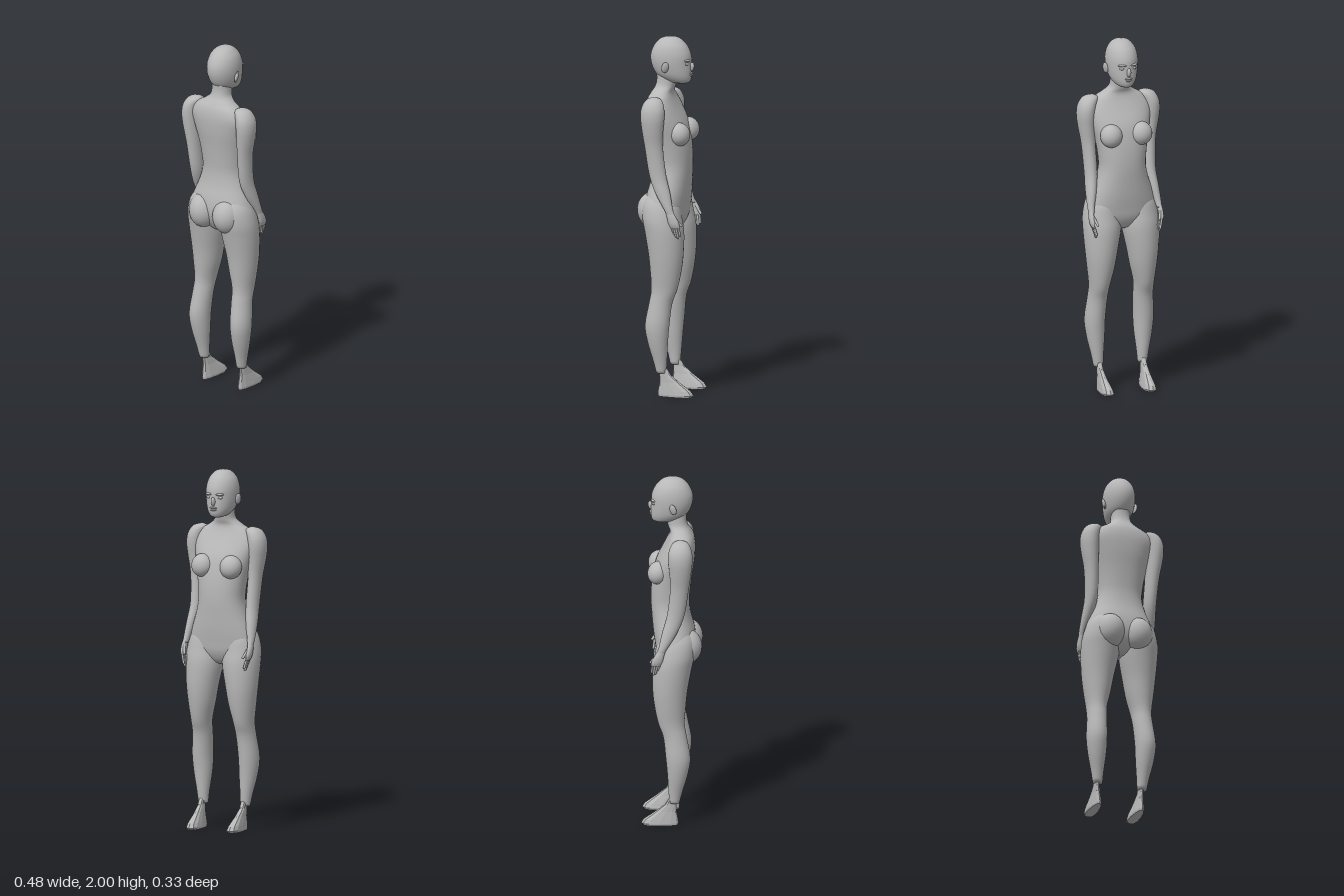
import * as THREE from 'three';

const grey = new THREE.MeshStandardMaterial({ color: 0xb8b8b8 });
grey.name = 'plain grey';

// Smooth skin through rings [y, x, z, rx, rz], listed from top to bottom
function loft(rings, { sides = 28, steps = 4, power = 2, side = 1 } = {}) {
  const mid = new THREE.CatmullRomCurve3(rings.map(r => new THREE.Vector3(r[1] * side, r[0], r[2])), false, 'catmullrom');
  const rad = new THREE.CatmullRomCurve3(rings.map(r => new THREE.Vector3(r[3], r[4], 0)), false, 'catmullrom');
  const n = (rings.length - 1) * steps, pos = [], idx = [];
  const bend = v => Math.sign(v) * Math.abs(v) ** (2 / power);
  for (let i = 0; i <= n; i++) {
    const c = mid.getPoint(i / n), r = rad.getPoint(i / n);
    for (let j = 0; j < sides; j++) {
      const a = j / sides * Math.PI * 2;
      pos.push(c.x + r.x * bend(Math.cos(a)), c.y, c.z + r.y * bend(Math.sin(a)));
      if (i === n) continue;
      const p = i * sides + j, q = i * sides + (j + 1) % sides;
      idx.push(p, q, p + sides, q, q + sides, p + sides);
    }
  }
  // End caps
  for (const [row, flip] of [[0, true], [n, false]]) {
    const c = mid.getPoint(row / n), k = pos.length / 3;
    pos.push(c.x, c.y, c.z);
    for (let j = 0; j < sides; j++) {
      const p = row * sides + j, q = row * sides + (j + 1) % sides;
      idx.push(k, flip ? q : p, flip ? p : q);
    }
  }
  const g = new THREE.BufferGeometry();
  g.setAttribute('position', new THREE.Float32BufferAttribute(pos, 3));
  g.setIndex(idx);
  g.computeVertexNormals();
  return g;
}

// Rings given by front and back depth: [y, zFront, zBack, halfWidth]
const byDepth = rows => rows.map(([y, f, b, w]) => [y, 0, (f + b) / 2, w, (b - f) / 2]);

function add(parent, name, geometry) {
  const m = new THREE.Mesh(geometry, grey);
  m.name = name;
  parent.add(m);
  return m;
}

function blob(parent, name, p, r, tilt = 0) {
  const m = add(parent, name, new THREE.SphereGeometry(1, 24, 16));
  m.position.set(...p);
  m.scale.set(...r);
  m.rotation.x = tilt;
  return m;
}

function rod(parent, name, a, b, r) {
  const A = new THREE.Vector3(...a), B = new THREE.Vector3(...b), d = B.clone().sub(A);
  const m = add(parent, name, new THREE.CapsuleGeometry(r, d.length(), 4, 8));
  m.position.copy(A).add(B).multiplyScalar(0.5);
  m.quaternion.setFromUnitVectors(new THREE.Vector3(0, 1, 0), d.normalize());
}

// Wedge foot that widens towards the toes
function footGeometry(s) {
  const g = loft([
    [0.16, 0.13, 0.008, 0.018, 0.020], [0.12, 0.13, -0.005, 0.017, 0.033],
    [0.08, 0.128, -0.03, 0.02, 0.058], [0.035, 0.126, -0.058, 0.027, 0.094],
    [0.012, 0.125, -0.064, 0.03, 0.103], [0, 0.125, -0.06, 0.028, 0.096],
  ], { sides: 12, steps: 1, power: 2.5, side: s });
  const p = g.attributes.position;
  for (let i = 0; i < p.count; i++) {
    const flare = 1 - (p.getZ(i) + 0.05) * 2.5;
    p.setX(i, s * 0.126 + (p.getX(i) - s * 0.126) * flare);
  }
  const flat = g.toNonIndexed();
  flat.computeVertexNormals();
  return flat;
}

export function createModel() {
  const figure = new THREE.Group();
  figure.name = 'standingFigure';

  // Torso and neck; the figure looks towards -z
  add(figure, 'torso', loft(byDepth([
    [1.82, -0.03, 0.085, 0.05], [1.76, -0.03, 0.08, 0.052], [1.72, -0.022, 0.088, 0.06],
    [1.69, -0.012, 0.105, 0.095], [1.655, -0.02, 0.122, 0.15], [1.6, -0.045, 0.13, 0.18],
    [1.52, -0.085, 0.125, 0.168], [1.44, -0.105, 0.113, 0.15], [1.36, -0.115, 0.103, 0.137],
    [1.28, -0.117, 0.097, 0.132], [1.2, -0.112, 0.105, 0.15], [1.12, -0.105, 0.125, 0.18],
    [1.05, -0.095, 0.13, 0.2], [0.99, -0.085, 0.115, 0.18], [0.94, -0.06, 0.08, 0.1],
    [0.92, -0.03, 0.05, 0.04],
  ]), { sides: 36, power: 2.25 }));

  // Head
  const head = new THREE.Group();
  head.name = 'head';
  figure.add(head);
  add(head, 'skull', loft(byDepth([
    [2.0, -0.002, 0.002, 0.002], [1.992, -0.04, 0.045, 0.036], [1.975, -0.067, 0.073, 0.057],
    [1.945, -0.093, 0.097, 0.077], [1.9, -0.112, 0.115, 0.087], [1.85, -0.115, 0.113, 0.086],
    [1.8, -0.117, 0.092, 0.076], [1.77, -0.115, 0.06, 0.062], [1.75, -0.107, 0.02, 0.044],
    [1.74, -0.09, -0.01, 0.02],
  ]), { sides: 32 }));
  blob(head, 'nose', [0, 1.832, -0.116], [0.012, 0.026, 0.016], -0.25);
  blob(head, 'upperLip', [0, 1.797, -0.115], [0.022, 0.006, 0.009]);
  blob(head, 'lowerLip', [0, 1.786, -0.114], [0.018, 0.006, 0.009]);

  for (const s of [1, -1]) {
    const side = s > 0 ? 'left' : 'right';

    // Face and ears
    blob(head, side + 'Brow', [s * 0.034, 1.872, -0.103], [0.024, 0.007, 0.01]).rotation.y = -s * 0.35;
    blob(head, side + 'Eye', [s * 0.034, 1.854, -0.1], [0.015, 0.008, 0.01]);
    const ear = blob(head, side + 'Ear', [s * 0.09, 1.838, 0.008], [0.01, 0.032, 0.02]);
    ear.rotation.set(-0.15, s * 0.45, -s * 0.15);

    // Chest and seat
    blob(figure, side + 'Chest', [s * 0.088, 1.468, -0.075], [0.062, 0.065, 0.058], 0.25);
    blob(figure, side + 'Buttock', [s * 0.082, 1.035, 0.08], [0.082, 0.1, 0.088]);

    // Shoulder to wrist
    add(figure, side + 'Arm', loft([
      [1.682, 0.155, 0.05, 0.008, 0.008], [1.667, 0.165, 0.05, 0.042, 0.044],
      [1.625, 0.184, 0.05, 0.05, 0.064], [1.57, 0.19, 0.05, 0.051, 0.067],
      [1.5, 0.187, 0.05, 0.046, 0.06], [1.4, 0.178, 0.045, 0.038, 0.051],
      [1.25, 0.172, 0.025, 0.035, 0.048], [1.15, 0.183, -0.008, 0.03, 0.042],
      [1.07, 0.196, -0.042, 0.02, 0.026], [1.03, 0.2, -0.06, 0.014, 0.022],
    ], { side: s }));

    // Hand with four fingers and a thumb
    const hand = new THREE.Group();
    hand.name = side + 'Hand';
    figure.add(hand);
    add(hand, 'palm', loft([
      [1.06, 0.198, -0.047, 0.014, 0.02], [1.02, 0.203, -0.065, 0.014, 0.027],
      [0.985, 0.203, -0.078, 0.013, 0.031], [0.96, 0.2, -0.085, 0.008, 0.025],
    ], { sides: 14, side: s }));
    for (let i = 0; i < 4; i++) {
      const drop = [0.012, 0, 0.006, 0.024][i];
      rod(hand, 'finger', [s * 0.202, 0.975, -0.101 + i * 0.014],
        [s * 0.188, 0.908 + drop, -0.108 + i * 0.011], 0.0065);
    }
    rod(hand, 'thumb', [s * 0.198, 1.02, -0.08], [s * 0.182, 0.975, -0.113], 0.0075);

    // Thigh to ankle
    add(figure, side + 'Leg', loft([
      [1.14, 0.095, 0.03, 0.06, 0.06], [1.08, 0.105, 0.025, 0.09, 0.1],
      [1.0, 0.11, 0.018, 0.106, 0.11], [0.92, 0.113, 0.004, 0.106, 0.109],
      [0.8, 0.121, -0.007, 0.09, 0.098], [0.7, 0.125, -0.007, 0.075, 0.087],
      [0.6, 0.131, 0, 0.057, 0.073], [0.52, 0.135, 0.02, 0.055, 0.065],
      [0.4, 0.143, 0.037, 0.057, 0.068], [0.3, 0.14, 0.034, 0.05, 0.056],
      [0.2, 0.134, 0.023, 0.035, 0.039], [0.132, 0.13, 0.017, 0.027, 0.028],
    ], { side: s }));
    add(figure, side + 'Foot', footGeometry(s));
  }
  return figure;
}
